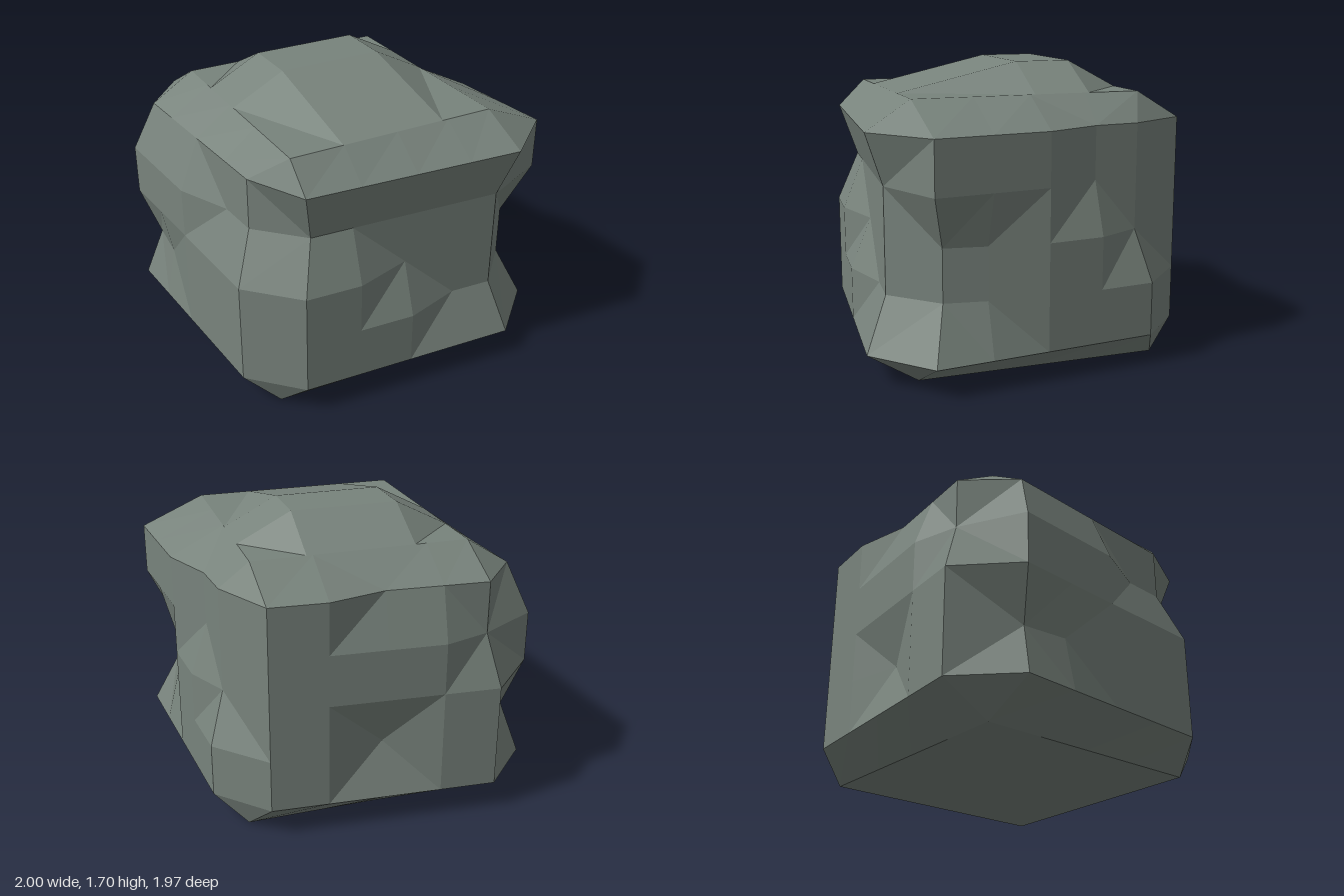
import * as THREE from 'three';
import { ConvexGeometry } from 'three/addons/geometries/ConvexGeometry.js';

// The four faces in plan (x, z), slightly skewed, with chamfers between them:
// front, left, back, right.
const SIDES = [
  [[-0.63, 0.88], [0.67, 0.98]],
  [[1.0, 0.68], [0.87, -0.62]],
  [[0.6, -0.89], [-0.7, -0.99]],
  [[-1.0, -0.69], [-0.9, 0.61]],
];

// Depth chipped off each face at five columns, in steps of 0.02
const LEVELS = [
  [0.17, '00000 00000 00000 00000'],
  [0.48, '00066 74000 00500 53000'],
  [0.78, '00666 74005 00000 00000'],
  [1.08, '66666 00055 00005 00066'],
  [1.38, '11111 00055 00555 66666'],
];

// One chipped ring of 20 points
function ring(y, chips) {
  const points = [];
  chips.split(' ').forEach((row, s) => {
    const a = new THREE.Vector2(...SIDES[s][0]);
    const b = new THREE.Vector2(...SIDES[s][1]);
    const along = b.clone().sub(a).normalize();
    const inward = new THREE.Vector2(along.y, -along.x);
    for (let i = 0; i < 5; i++) {
      const depth = Number(row[i]) * 0.02;
      const p = a.clone().lerp(b, i / 4).addScaledVector(inward, depth);
      // Chipped corners also shrink along the face
      if (i === 0) p.addScaledVector(along, depth * 0.65);
      if (i === 4) p.addScaledVector(along, -depth * 0.65);
      points.push({ v: new THREE.Vector3(p.x, y, p.y), depth });
    }
  });
  return points;
}

// A ring drawn in to a sharp-cornered rectangle
function squareRing(y, x0, x1, z0, z1) {
  const snap = (v, lo, hi) => (v < -0.5 ? lo : v > 0.5 ? hi : v);
  return ring(y, LEVELS[0][1]).map(({ v }) => ({
    v: new THREE.Vector3(snap(v.x, x0, x1), y, snap(v.z, z0, z1)),
    depth: 0,
  }));
}

function bodyGeometry() {
  const rings = [
    squareRing(0, -0.71, 0.69, -0.71, 0.7),
    ...LEVELS.map(([y, chips]) => ring(y, chips)),
    squareRing(1.54, -0.62, 0.62, -0.62, 0.7),
  ];
  const positions = [];
  const triangle = (...corners) => corners.forEach((c) => positions.push(c.x, c.y, c.z));
  const n = rings[0].length;

  // Walls: each cell is split through its deepest chip
  for (let j = 0; j < rings.length - 1; j++) {
    for (let i = 0; i < n; i++) {
      const k = (i + 1) % n;
      const a = rings[j][i], b = rings[j][k], c = rings[j + 1][k], d = rings[j + 1][i];
      if (a.depth + c.depth >= b.depth + d.depth) {
        triangle(a.v, b.v, c.v);
        triangle(a.v, c.v, d.v);
      } else {
        triangle(a.v, b.v, d.v);
        triangle(b.v, c.v, d.v);
      }
    }
  }

  // Flat bottom and top
  const bottom = rings[0], top = rings[rings.length - 1];
  const low = new THREE.Vector3(0, 0, 0), high = new THREE.Vector3(0, 1.54, 0);
  for (let i = 0; i < n; i++) {
    const k = (i + 1) % n;
    triangle(low, bottom[k].v, bottom[i].v);
    triangle(high, top[i].v, top[k].v);
  }

  const geometry = new THREE.BufferGeometry();
  geometry.setAttribute('position', new THREE.Float32BufferAttribute(positions, 3));
  geometry.computeVertexNormals();
  return geometry;
}

// Low faceted crown: an octagonal foot rising to a small flat top
function crownGeometry() {
  const points = [];
  for (const s of [-1, 1]) {
    points.push(
      new THREE.Vector3(s * 0.31, 1.54, 0.7),
      new THREE.Vector3(s * 0.62, 1.54, 0),
      new THREE.Vector3(s * 0.62, 1.54, -0.32),
      new THREE.Vector3(s * 0.31, 1.54, -0.62),
      new THREE.Vector3(s * 0.31, 1.7, 0),
      new THREE.Vector3(s * 0.31, 1.7, -0.32),
    );
  }
  return new ConvexGeometry(points);
}

export function createModel() {
  const group = new THREE.Group();
  group.name = 'rock';
  const stone = new THREE.MeshStandardMaterial({ color: 0x78837c, flatShading: true });

  const body = new THREE.Mesh(bodyGeometry(), stone);
  body.name = 'rockBody';
  const crown = new THREE.Mesh(crownGeometry(), stone);
  crown.name = 'rockCrown';
  group.add(body, crown);
  return group;
}
